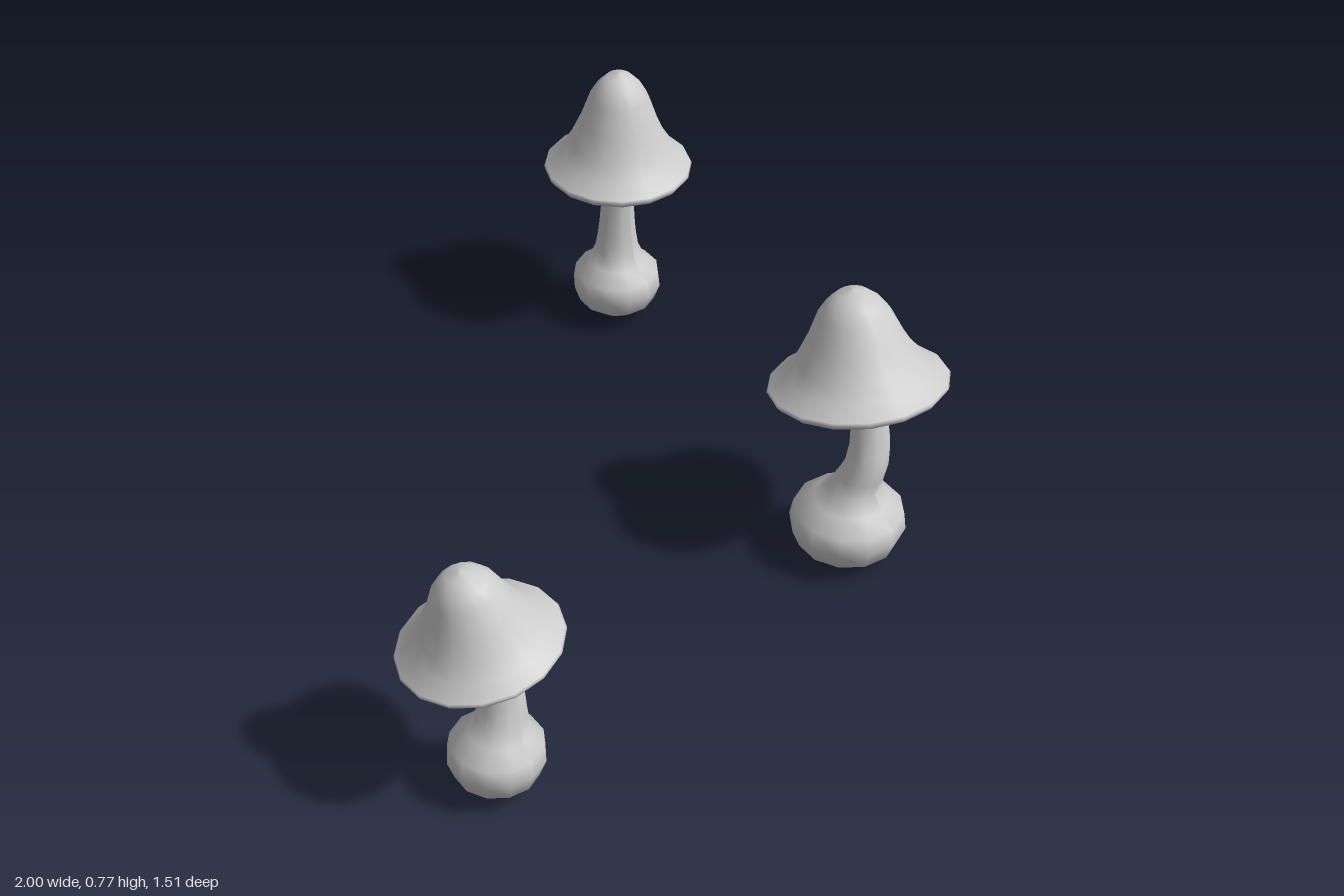
import * as THREE from 'three';

const material = new THREE.MeshStandardMaterial({ color: 0xcccccc, side: THREE.DoubleSide });

// Cap outline: radius and height as fractions, from the underside round the rim to the tip
const capProfile = [
  [0, 0.0], [0.3, -0.01], [0.8, -0.04], [0.96, -0.045], [1, 0], [0.98, 0.025],
  [0.8, 0.135], [0.66, 0.29], [0.52, 0.51], [0.4, 0.75], [0.3, 0.87], [0.17, 0.965], [0, 1],
];

// Bulb outline: radius as a fraction of the bulb radius, and height
const bulbProfile = [
  [0, 0.013], [0.45, 0.02], [0.86, 0.058], [1, 0.105], [0.95, 0.148], [0.64, 0.18],
];

const lathe = (points, sides) =>
  new THREE.LatheGeometry(points.map(([r, y]) => new THREE.Vector2(r, y)), sides);

// Bulb and stalk turned together, then bent along the spine of [x, y, z] points
function makeStem({ bulb, stalk, spine, drop = 0 }) {
  const top = spine[spine.length - 1][1];
  const points = bulbProfile.map(([r, y]) => [r * bulb, y - drop * (1 - y / 0.18)]);
  for (let i = 0; i <= 7; i++) {
    const t = i / 7;
    points.push([stalk * (1 + 0.38 * (1 - t) ** 3), 0.22 + (top - 0.22) * t]);
  }
  const geometry = lathe(points, 12);
  const curve = new THREE.CatmullRomCurve3(spine.map((p) => new THREE.Vector3(...p)));
  const samples = curve.getPoints(80);
  const pos = geometry.attributes.position;
  for (let i = 0; i < pos.count; i++) {
    const y = pos.getY(i);
    const c = samples.find((s) => s.y >= y) ?? samples[samples.length - 1];
    pos.setX(i, pos.getX(i) + c.x);
    pos.setZ(i, pos.getZ(i) + c.z);
  }
  geometry.computeVertexNormals();
  const mesh = new THREE.Mesh(geometry, material);
  mesh.name = 'stem';
  return mesh;
}

// Cap turned from its outline and leaned over towards the tilt direction
function makeCap({ radius, height, rim, tilt }) {
  const mesh = new THREE.Mesh(lathe(capProfile.map(([r, y]) => [r * radius, y * height]), 16), material);
  mesh.name = 'cap';
  mesh.position.set(...rim);
  mesh.quaternion.setFromUnitVectors(new THREE.Vector3(0, 1, 0), new THREE.Vector3(...tilt).normalize());
  return mesh;
}

const mushrooms = [
  {
    name: 'straightMushroom',
    stem: { bulb: 0.122, stalk: 0.044, spine: [[0.8, 0, -0.56], [0.8, 0.25, -0.56], [0.8, 0.49, -0.56]] },
    cap: { radius: 0.2, height: 0.287, rim: [0.8, 0.488, -0.56], tilt: [0, 1, 0] },
  },
  {
    name: 'largeMushroom',
    stem: {
      bulb: 0.147, stalk: 0.047, drop: 0.013,
      spine: [[0.412, -0.01, 0.56], [0.412, 0.14, 0.56], [0.415, 0.22, 0.57], [0.43, 0.3, 0.592],
        [0.45, 0.38, 0.58], [0.453, 0.49, 0.55]],
    },
    cap: { radius: 0.226, height: 0.255, rim: [0.457, 0.495, 0.53], tilt: [0.04, 1, -0.18] },
  },
  {
    name: 'smallMushroom',
    stem: {
      bulb: 0.117, stalk: 0.044,
      spine: [[-0.787, 0, 0.485], [-0.787, 0.15, 0.485], [-0.77, 0.23, 0.487], [-0.76, 0.3, 0.478],
        [-0.77, 0.36, 0.468], [-0.795, 0.44, 0.458]],
    },
    cap: { radius: 0.197, height: 0.225, rim: [-0.803, 0.437, 0.455], tilt: [-0.18, 1, -0.09] },
  },
];

export function createModel() {
  const model = new THREE.Group();
  model.name = 'mushrooms';
  for (const { name, stem, cap } of mushrooms) {
    const group = new THREE.Group();
    group.name = name;
    group.add(makeStem(stem), makeCap(cap));
    model.add(group);
  }
  return model;
}
